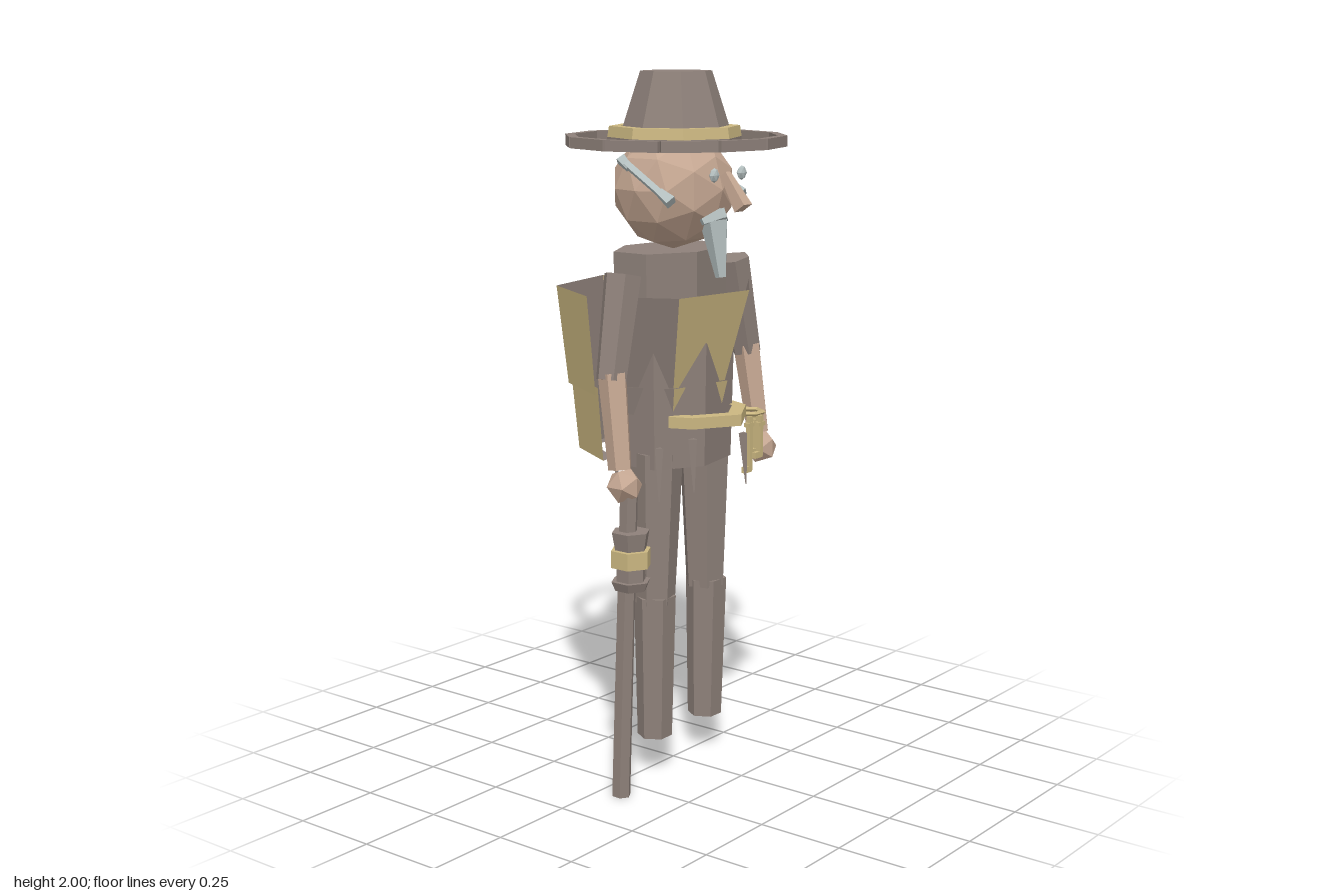
import * as THREE from 'three';

const mat = (name, color) => Object.assign(
  new THREE.MeshStandardMaterial({ color, flatShading: true, side: THREE.DoubleSide }), { name });

export function createModel() {
  const root = new THREE.Group();
  root.name = 'traveller';
  const cloth = mat('greyBrownCloth', 0x8e817a);
  const gold = mat('paleGold', 0xcbb781);
  const skin = mat('skin', 0xc6a893);
  const pale = mat('paleGrey', 0xb5c0c0);

  function add(name, geo, material, x = 0, y = 0, z = 0) {
    const m = new THREE.Mesh(geo, material);
    m.name = name;
    m.position.set(x, y, z);
    root.add(m);
    return m;
  }
  // Tapered prism running from point a (radius ra) to point b (radius rb)
  function limb(name, a, b, ra, rb, sides, material, turn = 0) {
    const A = new THREE.Vector3(...a), B = new THREE.Vector3(...b);
    const geo = new THREE.CylinderGeometry(ra, rb, A.distanceTo(B), sides);
    geo.rotateY(turn);
    const m = add(name, geo, material);
    m.position.copy(A).add(B).multiplyScalar(0.5);
    m.quaternion.setFromUnitVectors(new THREE.Vector3(0, 1, 0), A.sub(B).normalize());
    return m;
  }
  // Open wall of flat panels; corners are [x, z], scaled about (0, cz) at each end
  function wall(name, corners, cz, y1, s1, y0, s0, materials) {
    const at = ([x, z], y, s) => [x * s, y, cz + (z - cz) * s];
    for (let i = 0; i < corners.length - 1; i++) {
      const a = at(corners[i], y1, s1), b = at(corners[i + 1], y1, s1);
      const c = at(corners[i + 1], y0, s0), d = at(corners[i], y0, s0);
      const geo = new THREE.BufferGeometry();
      geo.setAttribute('position', new THREE.Float32BufferAttribute([a, d, c, a, c, b].flat(), 3));
      geo.computeVertexNormals();
      add(name, geo, materials[i]);
    }
  }

  // Hat: crown, band and a floating segmented brim
  add('hatCrown', new THREE.CylinderGeometry(0.1, 0.158, 0.18, 8), cloth, 0, 1.91, 0.01);
  add('hatBand', new THREE.CylinderGeometry(0.183, 0.188, 0.03, 8, 1, true), gold, 0, 1.835, 0.005);
  const bandTop = new THREE.RingGeometry(0.15, 0.183, 8, 1, Math.PI / 2);
  add('hatBandTop', bandTop.rotateX(-Math.PI / 2), gold, 0, 1.85, 0.005);
  add('hatBase', new THREE.CylinderGeometry(0.188, 0.188, 0.02, 8), cloth, 0, 1.81, 0.005);
  for (let i = 0; i < 12; i++) {
    const t = (i + 0.5) * Math.PI / 6;
    const seg = add('hatBrimSegment', new THREE.BoxGeometry(0.152, 0.03, 0.026), cloth,
      Math.sin(t) * 0.288, 1.81, 0.008 + Math.cos(t) * 0.288);
    seg.rotation.y = t;
  }

  // Head and face
  add('head', new THREE.IcosahedronGeometry(0.172, 1), skin, 0, 1.68, 0);
  limb('nose', [0, 1.725, 0.18], [0, 1.635, 0.242], 0.016, 0.027, 4, skin, Math.PI / 4);
  limb('beard', [0, 1.595, 0.145], [0, 1.44, 0.168], 0.042, 0.016, 5, pale);
  for (const s of [-1, 1]) {
    const eye = add('eye', new THREE.OctahedronGeometry(0.02, 1), pale, s * 0.063, 1.725, 0.19);
    eye.scale.z = 0.5;
    limb('moustache', [0, 1.615, 0.165], [s * 0.052, 1.595, 0.14], 0.02, 0.012, 4, pale);
    limb('sideburn', [s * 0.163, 1.758, -0.045], [s * 0.163, 1.66, 0.11], 0.012, 0.012, 4, pale);
    limb('sideburnTip', [s * 0.163, 1.68, 0.08], [s * 0.163, 1.655, 0.12], 0.014, 0.02, 4, pale);
    limb('sideburnTop', [s * 0.163, 1.765, -0.055], [s * 0.163, 1.74, -0.025], 0.018, 0.012, 4, pale);
  }

  // Torso, seven-sided and a little off-axis
  const turn = -0.22;
  const chest = add('chest', new THREE.CylinderGeometry(0.2, 0.2, 0.4, 7).rotateY(turn), cloth, 0.005, 1.31, -0.015);
  chest.scale.z = 0.66;
  const waist = add('waist', new THREE.CylinderGeometry(0.2, 0.19, 0.35, 7).rotateY(turn), cloth, -0.005, 1.085, 0.01);
  waist.scale.z = 0.74;

  // Breastplate: upper and lower tiers
  const front = [[-0.28, -0.02], [-0.185, 0.165], [0.075, 0.21], [0.28, 0.06]];
  const plateColours = [cloth, gold, cloth];
  wall('breastplate', front, -0.055, 1.4, 1, 1.14, 0.74, plateColours);
  wall('breastplateLower', front, -0.055, 1.14, 0.77, 1.06, 0.7, plateColours);

  // Back basket: two tiers and an inward floor rim
  const back = [[0.28, -0.03], [0.28, -0.185], [0.075, -0.32], [-0.185, -0.275], [-0.3, -0.065]];
  const basketColours = [gold, gold, cloth, gold];
  wall('basket', back, -0.055, 1.4, 1, 1.12, 0.89, basketColours);
  wall('basketLower', back, -0.055, 1.14, 0.86, 0.93, 0.79, basketColours);
  wall('basketRim', back, -0.055, 0.93, 0.79, 0.935, 0.64, [cloth, cloth, cloth, cloth]);

  // Belt with a forward point
  const belt = [[-0.15, 0.1], [-0.125, 0.165], [0, 0.24], [0.125, 0.165], [0.15, 0.1]];
  wall('belt', belt, 0.06, 1.062, 1, 1.03, 1, [gold, gold, gold, gold]);
  wall('beltTop', belt, 0.06, 1.062, 1, 1.062, 0.75, [gold, gold, gold, gold]);
  wall('beltUnderside', belt, 0.06, 1.03, 1, 1.03, 0.75, [gold, gold, gold, gold]);

  // Key ring with three hanging keys
  const ring = new THREE.TorusGeometry(0.042, 0.007, 4, 6).rotateX(Math.PI / 2);
  add('keyRing', ring, gold, 0.195, 1.025, 0.125);
  [[0.165, 0.15, 0.86], [0.195, 0.165, 0.9], [0.225, 0.13, 0.9]].forEach(([x, z, y]) => {
    add('keyShaft', new THREE.BoxGeometry(0.014, 1.02 - y, 0.014), gold, x, (1.02 + y) / 2, z);
    add('keyBit', new THREE.BoxGeometry(0.034, 0.018, 0.012), gold, x - 0.012, y + 0.005, z);
    add('keyBow', new THREE.BoxGeometry(0.032, 0.012, 0.016), gold, x, 0.995, z);
  });

  // Ragged spikes around the waist
  [[-0.19, 0.1], [-0.11, 0.155], [0.12, 0.16], [0.13, -0.1], [-0.15, -0.08]].forEach(([x, z], i) => {
    const y = i % 2 ? 0.93 : 0.91;
    limb('waistTatter', [x, y + 0.07, z], [x * 1.04, y - 0.08, z * 1.05], 0.014, 0.002, 3, cloth);
  });

  // Legs and arms
  for (const s of [-1, 1]) {
    limb('upperLeg', [s * 0.112, 0.95, 0.025], [s * 0.118, 0.51, 0.025], 0.078, 0.058, 6, cloth, 0.25 * s);
    limb('lowerLeg', [s * 0.121, 0.53, 0.028], [s * 0.119, 0.11, 0.025], 0.06, 0.05, 6, cloth, 0.5 * s);
    limb('upperArm', [s * 0.248, 1.46, 0.02], [s * 0.312, 1.18, 0.03], 0.054, 0.044, 6, cloth, 0.3);
    limb('forearm', [s * 0.31, 1.2, 0.035], [s * 0.322, 0.94, 0.07], 0.042, 0.034, 5, skin);
    add('hand', new THREE.IcosahedronGeometry(0.051, 0), skin, s * 0.318, 0.895, 0.08);
  }

  // Walking cane with collars
  const cx = -0.314, cz = 0.098;
  limb('caneShaft', [cx, 0.89, cz - 0.005], [-0.326, 0, 0.069], 0.026, 0.027, 6, cloth);
  const collars = [[0.745, 0.05, 0.055, 0.046, cloth], [0.695, 0.048, 0.058, 0.058, gold],
    [0.65, 0.045, 0.042, 0.042, cloth], [0.618, 0.026, 0.057, 0.046, cloth]];
  collars.forEach(([y, h, rt, rb, m]) =>
    add('caneCollar', new THREE.CylinderGeometry(rt, rb, h, 6), m, cx, y, cz));

  return root;
}
